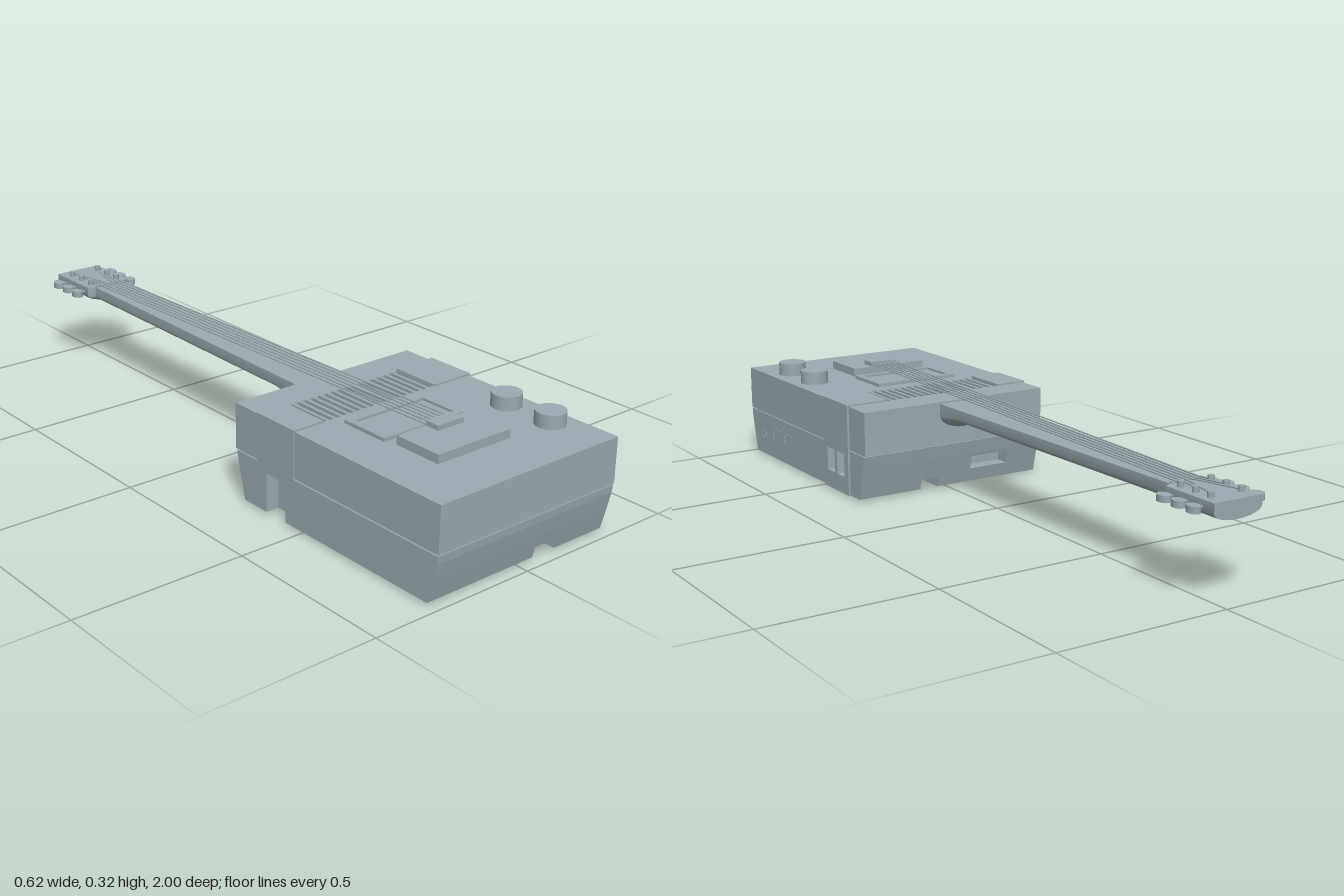
import * as THREE from 'three';
import { toCreasedNormals } from 'three/addons/utils/BufferGeometryUtils.js';

export function createModel() {
  const model = new THREE.Group();
  const grey = new THREE.MeshStandardMaterial({ color: 0x9aabb2 });
  grey.name = 'blue grey';

  const add = (name, geometry, parent = model) => {
    const mesh = new THREE.Mesh(geometry, grey);
    mesh.name = name;
    parent.add(mesh);
    return mesh;
  };
  const group = (name) => {
    const g = new THREE.Group();
    g.name = name;
    model.add(g);
    return g;
  };
  // Box given by its limits on each axis
  const box = (name, x0, x1, y0, y1, z0, z1, parent) =>
    add(name, new THREE.BoxGeometry(x1 - x0, y1 - y0, z1 - z0)
      .translate((x0 + x1) / 2, (y0 + y1) / 2, (z0 + z1) / 2), parent);
  const rect = (a0, a1, b0, b1) =>
    [[a0, b0], [a1, b0], [a1, b1], [a0, b1]].map(([a, b]) => new THREE.Vector2(a, b));
  const extrude = (points, holes, depth) => {
    const shape = new THREE.Shape(points);
    for (const h of holes) shape.holes.push(new THREE.Path(h));
    return new THREE.ExtrudeGeometry(shape, { depth, bevelEnabled: false });
  };
  // Side outline (z, y) swept from x0 to x1
  const sweepX = (name, points, holes, x0, x1, parent) =>
    add(name, extrude(points, holes, x1 - x0).rotateY(-Math.PI / 2).translate(x1, 0, 0), parent);
  // Plan outline (x, z) swept from y0 to y1
  const plate = (name, points, holes, y0, y1, parent) =>
    add(name, extrude(points, holes, y1 - y0).rotateX(Math.PI / 2).translate(0, y1, 0), parent);
  const rod = (name, a, b, r, parent) => {
    const from = new THREE.Vector3(...a), to = new THREE.Vector3(...b);
    const m = add(name, new THREE.CylinderGeometry(r, r, from.distanceTo(to), 6), parent);
    m.position.copy(from).lerp(to, 0.5);
    m.quaternion.setFromUnitVectors(new THREE.Vector3(0, 1, 0), to.sub(from).normalize());
  };

  // Lower case: slices across x, each with its own cut-outs
  const lower = group('lowerCase');
  const sockets = [rect(0.35, 0.395, 0.06, 0.13), rect(0.41, 0.455, 0.06, 0.13)];
  const cuts = [-0.31, -0.27, -0.2, -0.07, 0.04, 0.05, 0.1, 0.13, 0.28, 0.305];
  for (let i = 0; i < cuts.length - 1; i++) {
    const x0 = cuts[i], x1 = cuts[i + 1], mid = (x0 + x1) / 2;
    const p = [];
    if (mid > 0.05 && mid < 0.13) p.push([0.83, 0.008], [0.83, 0.04], [0.976, 0.04]);
    else p.push([0.968, 0.008]);
    p.push([0.985, 0.075], [0.995, 0.12], [0.998, 0.143], [0.235, 0.143], [0.245, 0.1]);
    if (mid > -0.2 && mid < -0.07) p.push([0.248, 0.09], [0.3, 0.09], [0.3, 0.05], [0.257, 0.05]);
    if (mid > 0.04 && mid < 0.1) p.push([0.261, 0.04], [0.48, 0.04], [0.48, 0.008]);
    else p.push([0.268, 0.008]);
    if (mid < -0.27) p.push([0.36, 0.008], [0.36, 0.12], [0.44, 0.12], [0.44, 0.008]);
    sweepX('lowerCaseSlice', p.map(([z, y]) => new THREE.Vector2(z, y)),
      mid > 0.28 ? sockets : [], x0, x1, lower);
  }
  box('caseSeam', -0.305, 0.3, 0.14, 0.15, 0.24, 0.99);

  // Upper case with a slotted vent in its top
  box('upperCase', -0.31, 0.305, 0.147, 0.258, 0.23, 1);
  const slots = [];
  for (let i = 0; i < 17; i++) {
    const x = -0.215 + i * 0.0235;
    slots.push(rect(x, x + 0.014, 0.33, 0.47));
  }
  plate('ventedTop', rect(-0.31, 0.305, 0.23, 1), slots, 0.258, 0.277);

  // Raised trim that wraps over both sides
  const trim = group('sideTrim');
  box('rightTrimTop', -0.314, -0.215, 0.277, 0.282, 0.325, 0.475, trim);
  box('rightTrimSide', -0.314, -0.31, 0.145, 0.277, 0.325, 0.475, trim);
  box('leftTrimTop', 0.176, 0.311, 0.277, 0.282, 0.325, 0.475, trim);
  sweepX('leftTrimSide', rect(0.325, 0.475, 0.007, 0.277), sockets, 0.305, 0.311, trim);

  // Jack and small switch outlines on the left side
  const jack = add('jack', new THREE.TorusGeometry(0.011, 0.003, 6, 20));
  jack.rotation.y = Math.PI / 2;
  jack.position.set(0.304, 0.07, 0.91);
  for (const z of [0.76, 0.84]) {
    box('switchEdge', 0.304, 0.307, 0.07, 0.105, z, z + 0.005);
    box('switchBase', 0.304, 0.307, 0.1, 0.105, z - 0.05, z);
  }

  // Pickup frame, bridge plate and bridge
  plate('pickupFrame', rect(-0.175, 0.101, 0.51, 0.66),
    [rect(-0.155, 0.081, 0.53, 0.645)], 0.277, 0.287);
  box('pickupPanel', -0.155, 0.081, 0.277, 0.28, 0.53, 0.645);
  box('bridgePlate', -0.161, 0.088, 0.277, 0.302, 0.69, 0.837);
  box('bridge', -0.063, 0.027, 0.302, 0.316, 0.69, 0.735);

  // Knobs and feet
  for (const z of [0.685, 0.838])
    add('knob', new THREE.CylinderGeometry(0.042, 0.042, 0.04, 32)).position.set(0.233, 0.296, z);
  for (const x of [-0.2, 0.215])
    for (const z of [0.34, 0.885])
      add('foot', new THREE.CylinderGeometry(0.045, 0.036, 0.009, 24)).position.set(x, 0.0045, z);

  // Neck and headstock: D-shaped sections [z, half width, lowest y, side y]
  const sections = [
    [0.26, 0.076, 0.192, 0.235], [0.22, 0.075, 0.197, 0.237], [0.19, 0.0745, 0.207, 0.24],
    [0.16, 0.074, 0.216, 0.243], [0.12, 0.073, 0.222, 0.245], [-0.81, 0.053, 0.222, 0.245],
    [-0.822, 0.075, 0.222, 0.245], [-1, 0.075, 0.222, 0.245],
  ];
  const top = 0.272, cx = -0.024, arc = 12, n = arc + 3;
  const pos = [], index = [];
  for (const [z, w, low, side] of sections) {
    pos.push(cx - w, top, z);
    for (let j = 0; j <= arc; j++) {
      const t = (Math.PI * j) / arc;
      pos.push(cx - w * Math.cos(t), side - (side - low) * Math.sin(t), z);
    }
    pos.push(cx + w, top, z);
  }
  for (let i = 0; i < sections.length - 1; i++)
    for (let j = 0; j < n; j++) {
      const a = i * n + j, b = i * n + ((j + 1) % n), c = b + n, d = a + n;
      index.push(a, c, b, a, d, c);
    }
  const last = (sections.length - 1) * n;
  for (let j = 1; j < n - 1; j++) index.push(0, j, j + 1, last, last + j + 1, last + j);
  const neck = new THREE.BufferGeometry();
  neck.setAttribute('position', new THREE.Float32BufferAttribute(pos, 3));
  neck.setIndex(index);
  add('neckAndHeadstock', toCreasedNormals(neck, 0.6));

  // Tuning pegs: post, shaft and button on each side
  const pegs = group('tuningPegs');
  const pegZ = [-0.845, -0.9, -0.955];
  for (const s of [-1, 1])
    for (const z of pegZ) {
      add('post', new THREE.CylinderGeometry(0.009, 0.009, 0.02, 12), pegs)
        .position.set(cx + s * 0.048, 0.277, z);
      rod('shaft', [cx + s * 0.07, 0.253, z], [cx + s * 0.092, 0.253, z], 0.005, pegs);
      const button = add('button', new THREE.CylinderGeometry(0.021, 0.021, 0.018, 16), pegs);
      button.scale.x = 0.75;
      button.position.set(cx + s * 0.1, 0.253, z);
    }

  // Strings run from the bridge to the nut, then fan out to the posts
  const strings = group('strings');
  box('nut', cx - 0.05, cx + 0.05, 0.27, 0.276, -0.815, -0.805);
  for (let i = 0; i < 6; i++) {
    const s = i < 3 ? -1 : 1, k = i < 3 ? i : 5 - i;
    const nutPoint = [cx + (i - 2.5) * 0.015, 0.277, -0.81];
    rod('string', [cx + (i - 2.5) * 0.016, 0.307, 0.695], nutPoint, 0.0022, strings);
    rod('stringEnd', nutPoint, [cx + s * 0.042, 0.279, pegZ[k]], 0.0022, strings);
  }
  return model;
}
